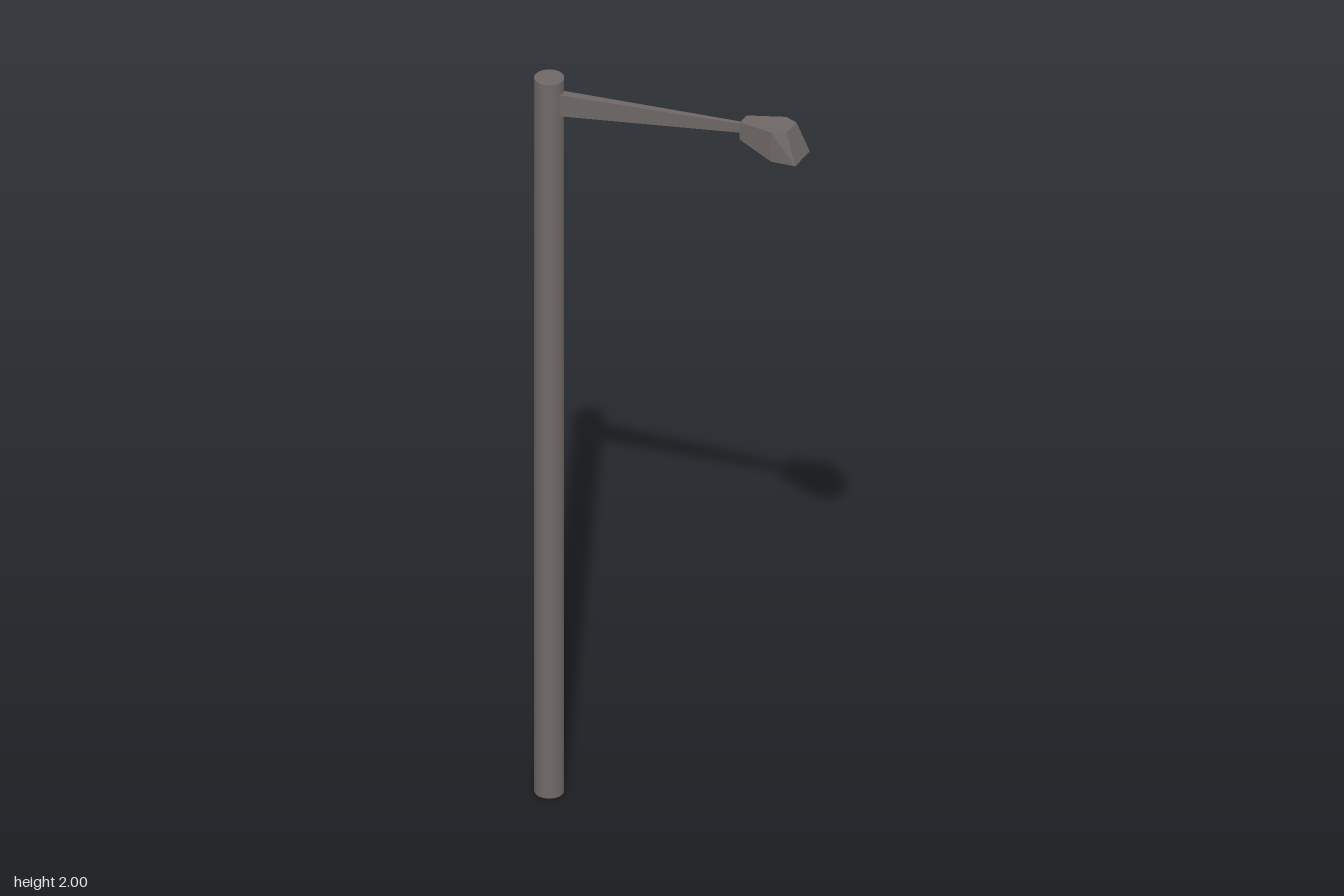
import * as THREE from 'three';

const metal = new THREE.MeshStandardMaterial({ color: 0x6f6866 });
const metalFlat = new THREE.MeshStandardMaterial({ color: 0x6f6866, flatShading: true });
const lampDark = new THREE.MeshStandardMaterial({ color: 0x2a2828 });

// Closed solid through four-cornered sections, each [xTop, yTop, halfTop, xBottom, yBottom, halfBottom]
function loft(sections) {
  const pos = [];
  const rings = sections.map(([xt, yt, wt, xb, yb, wb]) => [
    [xt, yt, -wt], [xt, yt, wt], [xb, yb, wb], [xb, yb, -wb],
  ]);
  const quad = (a, b, c, d) => pos.push(...a, ...b, ...c, ...a, ...c, ...d);
  for (let s = 0; s < rings.length - 1; s++) {
    for (let i = 0; i < 4; i++) {
      const j = (i + 1) % 4;
      quad(rings[s][i], rings[s][j], rings[s + 1][j], rings[s + 1][i]);
    }
  }
  const first = rings[0], last = rings[rings.length - 1];
  quad(first[3], first[2], first[1], first[0]);
  quad(last[0], last[1], last[2], last[3]);
  const geo = new THREE.BufferGeometry();
  geo.setAttribute('position', new THREE.Float32BufferAttribute(pos, 3));
  geo.computeVertexNormals();
  return geo;
}

function part(parent, name, geometry, material) {
  const mesh = new THREE.Mesh(geometry, material);
  mesh.name = name;
  parent.add(mesh);
  return mesh;
}

export function createModel() {
  const model = new THREE.Group();
  model.name = 'streetLamp';

  // Everything is laid out along +x from the pole axis, then swung round
  const lamp = new THREE.Group();
  lamp.name = 'lampAssembly';
  lamp.position.set(-0.305, 0, -0.098);
  lamp.rotation.y = -0.295;
  model.add(lamp);

  // Upright pole
  part(lamp, 'pole', new THREE.CylinderGeometry(0.035, 0.035, 1.955, 32), metal).position.y = 1.955 / 2;

  // Tapered arm rising to the head
  part(lamp, 'arm', loft([
    [0.028, 1.921, 0.011, 0.028, 1.863, 0.011],
    [0.51, 1.976, 0.005, 0.51, 1.952, 0.005],
  ]), metalFlat);

  // Lamp head: narrow neck, wide middle, sloping front
  part(lamp, 'lampHead', loft([
    [0.507, 1.987, 0.0175, 0.507, 1.94, 0.0175],
    [0.6, 1.998, 0.0385, 0.6, 1.918, 0.0385],
    [0.634, 2.0, 0.0245, 0.662, 1.922, 0.037],
  ]), metalFlat);

  // Shallow domed lens under the head
  const lens = part(lamp, 'lens', new THREE.SphereGeometry(0.026, 24, 12), lampDark);
  lens.scale.y = 0.7;
  lens.position.set(0.619, 1.922, 0);

  return model;
}
